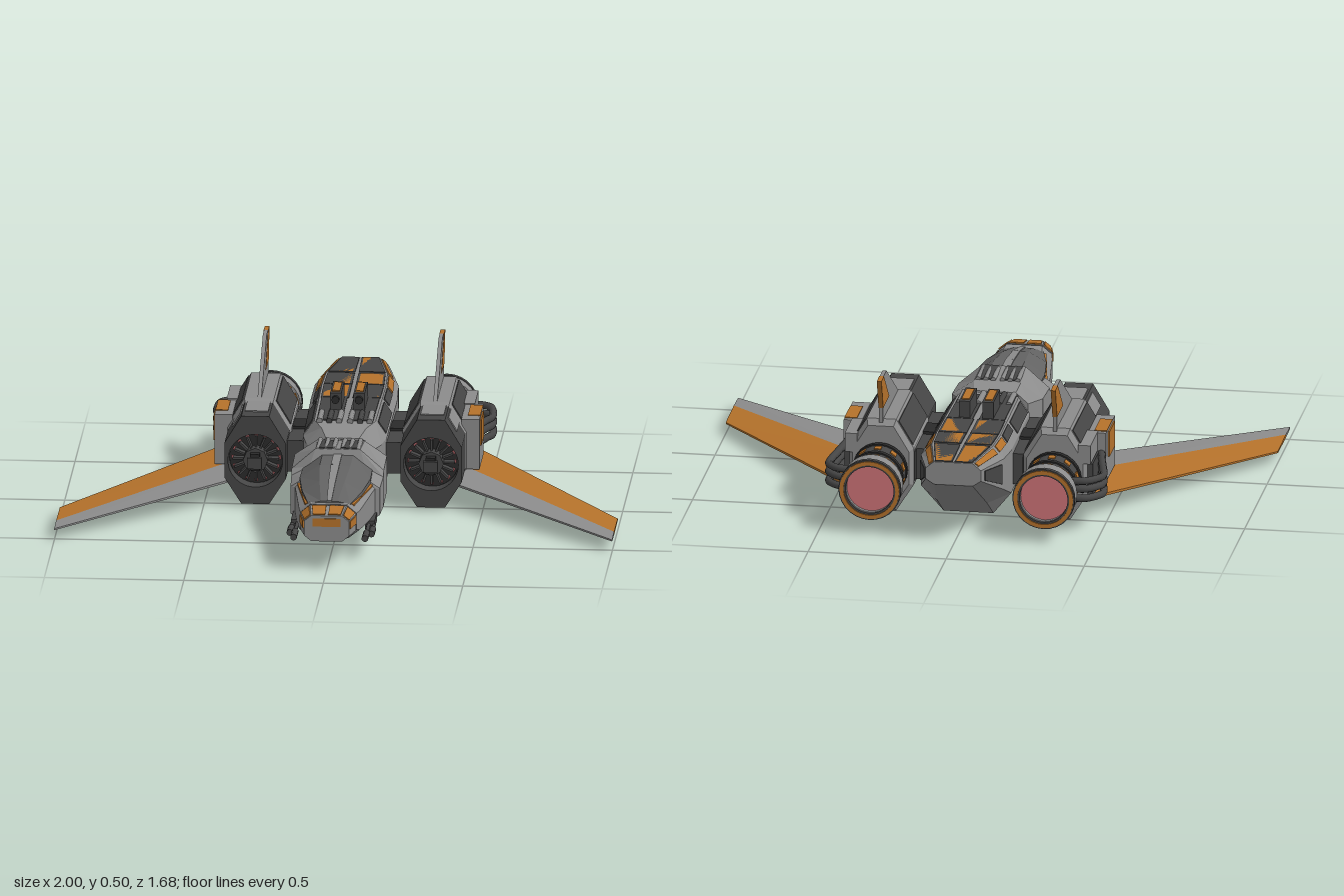
import * as THREE from 'three';
import { ConvexGeometry } from 'three/addons/geometries/ConvexGeometry.js';

const mat = (name, color, side = THREE.FrontSide) => {
  const m = new THREE.MeshStandardMaterial({ color, side });
  m.name = name;
  return m;
};

export function createModel() {
  const model = new THREE.Group();
  model.name = 'starfighter';
  const hull = mat('hull grey', 0x8c8c8c);
  const dark = mat('dark metal', 0x464646);
  const glass = mat('canopy grey', 0x636363);
  const black = mat('recess black', 0x2a2a2a);
  const orange = mat('orange paint', 0xb5722b);
  const pink = mat('engine glow', 0xd07478);

  const add = (name, geo, material, x = 0, y = 0, z = 0) => {
    const m = new THREE.Mesh(geo, material);
    m.name = name;
    m.position.set(x, y, z);
    model.add(m);
    return m;
  };
  // box given by its limits
  const box = (name, m, x0, x1, y0, y1, z0, z1) =>
    add(name, new THREE.BoxGeometry(Math.abs(x1 - x0), y1 - y0, z1 - z0), m, (x0 + x1) / 2, (y0 + y1) / 2, (z0 + z1) / 2);
  // cylinder along z
  const rod = (name, m, r, x, y, z0, z1, n = 24, r2 = r) =>
    add(name, new THREE.CylinderGeometry(r2, r, z1 - z0, n).rotateX(Math.PI / 2), m, x, y, (z0 + z1) / 2);
  const convex = (name, pts, m) => add(name, new ConvexGeometry(pts.map(p => new THREE.Vector3(...p))), m);

  // eight-sided section: z, half width, bottom, top, top half width, upper side y, lower side y, bottom half width
  const ring = ([z, w, y0, y1, t, hi, lo, b], cx) =>
    [[t, y1], [-t, y1], [-w, hi], [-w, lo], [-b, y0], [b, y0], [w, lo], [w, hi]].map(([x, y]) => new THREE.Vector3(cx + x, y, z));
  const loft = (name, secs, m, cx = 0) => {
    const rings = secs.map(s => ring(s, cx)), pos = [];
    const tri = (...v) => v.forEach(p => pos.push(p.x, p.y, p.z));
    for (let i = 0; i + 1 < rings.length; i++) for (let k = 0; k < 8; k++) {
      const a = rings[i], b = rings[i + 1], j = (k + 1) % 8;
      tri(a[k], a[j], b[k]);
      tri(a[j], b[j], b[k]);
    }
    const first = rings[0], last = rings[rings.length - 1];
    for (let k = 1; k < 7; k++) {
      tri(last[0], last[k], last[k + 1]);
      tri(first[0], first[k + 1], first[k]);
    }
    const g = new THREE.BufferGeometry();
    g.setAttribute('position', new THREE.Float32BufferAttribute(pos, 3));
    g.computeVertexNormals();
    add(name, g, m, 0, 0, 0);
    return rings;
  };
  // thin plate lying on one face of a loft
  const panel = (name, rings, i, k, u0, u1, v0, v1, m) => {
    const a = rings[i], b = rings[i + 1], j = (k + 1) % 8;
    const at = (u, v) => a[k].clone().lerp(a[j], v).lerp(b[k].clone().lerp(b[j], v), u);
    const q = [at(u0, v0), at(u0, v1), at(u1, v1), at(u1, v0)];
    const n = q[1].clone().sub(q[0]).cross(q[3].clone().sub(q[0])).normalize().multiplyScalar(0.004);
    add(name, new ConvexGeometry(q.flatMap(p => [p.clone().add(n), p.clone().sub(n)])), m);
  };
  const panelPair = (name, rings, i, k, u0, u1, v0, v1, m) => {
    panel(name, rings, i, k, u0, u1, v0, v1, m);
    panel(name, rings, i, (8 - k) % 8, u0, u1, 1 - v1, 1 - v0, m);
  };
  // flat outline with a round hole, extruded along z
  const collar = (name, outline, holeR, m, x, y, z0, z1, n = 24) => {
    const s = new THREE.Shape(outline.map(p => new THREE.Vector2(...p)));
    const h = new THREE.Path();
    h.absarc(0, 0, holeR, 0, Math.PI * 2, true);
    s.holes.push(h);
    add(name, new THREE.ExtrudeGeometry(s, { depth: z1 - z0, bevelEnabled: false, curveSegments: n }), m, x, y, z0);
  };
  const circle = (r, n = 28) => Array.from({ length: n }, (_, i) =>
    [r * Math.cos(i / n * Math.PI * 2), r * Math.sin(i / n * Math.PI * 2)]);

  // rear fuselage with its painted deck
  const rear = loft('rearFuselage', [
    [-0.84, 0.1, 0.225, 0.31, 0.07, 0.285, 0.245, 0.07],
    [-0.64, 0.15, 0.095, 0.31, 0.11, 0.265, 0.15, 0.09],
    [-0.5, 0.155, 0.01, 0.305, 0.115, 0.25, 0.09, 0.09],
    [-0.06, 0.15, 0.01, 0.3, 0.11, 0.24, 0.09, 0.09],
    [0, 0.135, 0.02, 0.29, 0.08, 0.23, 0.09, 0.08],
    [0.06, 0.1, 0.06, 0.27, 0.06, 0.22, 0.12, 0.06],
  ], hull);
  for (const [i, u0, u1] of [[0, 0.05, 0.93], [1, 0.1, 0.93], [2, 0.03, 0.33]]) {
    panelPair('deckBorder', rear, i, 0, u0 - 0.03, u1 + 0.03, 0.03, 0.47, dark);
    panelPair('deckPanel', rear, i, 0, u0, u1, 0.06, 0.43, orange);
    panelPair('deckSidePanel', rear, i, 7, u0, u1, 0.45, 0.9, i < 2 ? orange : dark);
  }
  panelPair('flankPanel', rear, 2, 7, 0.4, 0.95, 0.15, 0.85, dark);
  panelPair('sternPanel', rear, 0, 6, 0.15, 0.9, 0.15, 0.85, dark);
  panelPair('spineRecess', rear, 2, 0, 0.37, 1, 0.04, 0.45, dark);

  // neck and front fuselage
  rod('neck', dark, 0.1, 0, 0.165, 0.03, 0.13, 16);
  const front = loft('frontFuselage', [
    [0.09, 0.12, 0.08, 0.265, 0.075, 0.225, 0.12, 0.07],
    [0.14, 0.165, 0.055, 0.285, 0.085, 0.23, 0.1, 0.08],
    [0.29, 0.165, 0.045, 0.295, 0.08, 0.22, 0.09, 0.085],
    [0.31, 0.165, 0.045, 0.235, 0.1, 0.2, 0.09, 0.085],
    [0.42, 0.16, 0.045, 0.23, 0.1, 0.19, 0.09, 0.085],
    [0.425, 0.143, 0.05, 0.23, 0.1, 0.19, 0.09, 0.08],
    [0.7, 0.108, 0.085, 0.215, 0.07, 0.185, 0.115, 0.07],
    [0.745, 0.1, 0.095, 0.22, 0.065, 0.19, 0.13, 0.065],
  ], hull);
  panelPair('rearDeckRecess', front, 1, 0, 0.1, 0.95, 0.08, 0.42, dark);
  loft('noseSeam', [[0.74, 0.093, 0.105, 0.212, 0.06, 0.185, 0.13, 0.06],
    [0.76, 0.093, 0.105, 0.212, 0.06, 0.185, 0.13, 0.06]], dark);
  const nose = loft('noseCap', [
    [0.755, 0.1, 0.1, 0.22, 0.065, 0.19, 0.13, 0.065],
    [0.84, 0.08, 0.11, 0.205, 0.055, 0.185, 0.13, 0.055],
  ], hull);
  panelPair('noseTopPanel', nose, 0, 0, 0.08, 0.92, 0.05, 0.45, orange);
  panelPair('noseSlopePanel', nose, 0, 7, 0.08, 0.92, 0.1, 0.9, orange);
  panelPair('noseSidePanel', nose, 0, 6, 0.1, 0.9, 0.45, 0.95, orange);
  box('noseFrontPanel', orange, -0.05, 0.05, 0.165, 0.195, 0.835, 0.843);

  // canopy, trim and centre spine
  const canopy = loft('canopy', [
    [0.28, 0.125, 0.17, 0.275, 0.055, 0.225, 0.18, 0.1],
    [0.42, 0.127, 0.17, 0.272, 0.055, 0.225, 0.18, 0.1],
    [0.57, 0.108, 0.17, 0.255, 0.045, 0.22, 0.18, 0.08],
    [0.71, 0.075, 0.17, 0.222, 0.03, 0.212, 0.18, 0.06],
  ], glass);
  loft('canopyTrim', [
    [0.275, 0.131, 0.17, 0.208, 0.12, 0.204, 0.18, 0.1],
    [0.43, 0.134, 0.17, 0.208, 0.12, 0.204, 0.18, 0.1],
    [0.695, 0.088, 0.17, 0.213, 0.07, 0.208, 0.18, 0.06],
  ], orange);
  for (let i = 0; i < 3; i++) panel('canopySpine', canopy, i, 0, 0, 1, 0.36, 0.64, hull);

  // pipes over the spine and behind the canopy
  for (const x of [-0.09, -0.055, -0.02, 0.02, 0.055, 0.09]) {
    rod('spinePipe', Math.abs(x) === 0.055 ? dark : hull, 0.011, x, 0.303, -0.16, -0.04, 8);
    rod('neckPipe', hull, 0.009, x * 0.8, 0.289, 0.15, 0.29, 8);
    rod('neckConduit', dark, 0.012, x * 0.8, 0.25, -0.02, 0.13, 8);
  }

  // engine nacelle section: z, scale around its centre line
  const CX = 0.315, CY = 0.17;
  const nac = (z, s = 1) => [z, 0.11 * s, CY - 0.16 * s, CY + 0.165 * s, 0.05 * s, CY + 0.065 * s, CY - 0.065 * s, 0.05 * s];

  for (const s of [-1, 1]) {
    const cx = CX * s, outer = s > 0 ? 7 : 1;
    // nacelle body
    const back = loft('nacelleRear', [nac(-0.52, 0.93), nac(-0.5, 1.06), nac(-0.17, 1.06), nac(-0.15)], hull, cx);
    for (const k of [1, 7]) panel('nacelleSlopePanel', back, 1, k, 0.02, 0.98, 0.1, 0.9, dark);
    panel('nacelleInnerPanel', back, 1, 8 - (outer - (s > 0 ? 1 : -1)), 0.02, 0.98, 0.1, 0.9, dark);
    const fore = loft('nacelleFront', [nac(-0.16), nac(-0.03)], dark, cx);
    panel('nacelleTopPanel', fore, 0, 0, 0.05, 1, 0.08, 0.92, hull);
    panel('nacelleShoulderPanel', fore, 0, outer, 0.05, 0.95, s > 0 ? 0.4 : 0.1, s > 0 ? 0.9 : 0.6, hull);
    panel('nacelleKeelPanel', fore, 0, 4, 0.05, 0.95, 0.08, 0.92, hull);
    // intake with vanes, lights and hub
    collar('intakeFrame', ring(nac(0), 0).map(p => [p.x, p.y - CY]), 0.098, dark, cx, CY, -0.03, 0.03);
    rod('intakeBack', black, 0.097, cx, CY, -0.03, -0.024);
    for (let i = 0; i < 16; i++) {
      const a = i / 16 * Math.PI * 2, c = Math.cos(a), d = Math.sin(a);
      add('intakeVane', new THREE.BoxGeometry(0.04, 0.007, 0.03), dark, cx + c * 0.063, CY + d * 0.063, -0.01).rotation.z = a;
      add('intakeLight', new THREE.BoxGeometry(0.008, 0.012, 0.006), pink, cx + c * 0.084, CY + d * 0.084, -0.018).rotation.z = a;
    }
    rod('intakeHub', dark, 0.045, cx, CY, -0.025, 0.025, 8);
    box('hubBlock', black, cx - 0.017, cx + 0.017, CY - 0.03, CY + 0.03, 0.02, 0.055);
    box('hubTip', dark, cx - 0.026, cx + 0.026, CY - 0.02, CY + 0.02, 0.05, 0.07);

    // outer pod and hatch
    box('podBody', hull, s * 0.41, s * 0.475, 0.1, 0.285, -0.36, -0.16);
    box('podRail', hull, s * 0.4, s * 0.445, 0.22, 0.29, -0.52, -0.35);
    box('podLower', dark, s * 0.4, s * 0.45, 0.09, 0.215, -0.5, -0.35);
    box('podHatchSide', orange, s * 0.472, s * 0.48, 0.18, 0.275, -0.31, -0.19);
    box('podHatchTop', orange, s * 0.43, s * 0.475, 0.28, 0.288, -0.34, -0.21);
    // hoses to the engine
    for (const y of [0.135, 0.17, 0.2]) {
      const path = new THREE.CatmullRomCurve3([[0.455, y + 0.01, -0.34], [0.475, y, -0.44], [0.495, y - 0.01, -0.54],
        [0.485, y, -0.61], [0.45, y, -0.645], [0.4, y, -0.65]].map(([x, yy, z]) => new THREE.Vector3(x * s, yy, z)));
      add('hose', new THREE.TubeGeometry(path, 24, 0.014, 8), dark);
    }

    // engine barrel and nozzle
    rod('engineBarrel', dark, 0.095, cx, 0.165, -0.7, -0.5);
    rod('barrelRing', black, 0.1, cx, 0.165, -0.64, -0.62);
    rod('barrelCollar', black, 0.1, cx, 0.165, -0.55, -0.53);
    for (let i = 0; i < 10; i++) {
      const a = (i + 0.5) / 10 * Math.PI * 2, c = Math.cos(a), d = Math.sin(a);
      add('barrelMark', new THREE.BoxGeometry(0.008, 0.025, 0.03), orange, cx + c * 0.094, 0.165 + d * 0.094, -0.58).rotation.z = a;
      add('nozzleClip', new THREE.BoxGeometry(0.012, 0.04, 0.022), orange, cx + c * 0.097, 0.165 + d * 0.097, -0.685).rotation.z = a;
    }
    collar('nozzle', circle(0.11), 0.087, hull, cx, 0.165, -0.75, -0.695);
    collar('nozzleLip', circle(0.113), 0.087, dark, cx, 0.165, -0.768, -0.75);
    collar('nozzleRim', circle(0.108), 0.094, orange, cx, 0.165, -0.773, -0.768);
    rod('engineGlow', pink, 0.088, cx, 0.165, -0.74, -0.7);

    // link between fuselage and nacelle
    box('nacelleLink', dark, s * 0.13, s * 0.225, 0.11, 0.225, -0.46, -0.05);
    box('linkRib', black, s * 0.145, s * 0.215, 0.1, 0.235, -0.3, -0.2);

    // swept wing: grey leading strip, orange trailing strip
    const wing = (name, m, stations) => convex(name, stations.flatMap(([x, z, t]) => {
      const y = 0.085 - (x - 0.41) / 0.59 * 0.045;
      return [[x * s, y + t, z], [x * s, y - t, z]];
    }), m);
    wing('wingLeadingStrip', hull, [[0.4, -0.005, 0.004], [1, 0.515, 0.003], [1, 0.42, 0.006], [0.4, -0.225, 0.015]]);
    wing('wingTrailingStrip', orange, [[0.4, -0.225, 0.015], [1, 0.42, 0.006], [1, 0.24, 0.003], [0.44, -0.49, 0.005], [0.4, -0.49, 0.006]]);

    // upright tail fin
    const fin = (name, m, pts, t) => convex(name, pts.flatMap(([z, y]) => [[cx - t, y, z], [cx + t, y, z]]), m);
    fin('fin', hull, [[-0.16, 0.335], [-0.435, 0.505], [-0.5, 0.505], [-0.38, 0.39], [-0.515, 0.39], [-0.515, 0.335]], 0.007);
    fin('finTip', orange, [[-0.5, 0.505], [-0.555, 0.503], [-0.515, 0.39], [-0.38, 0.39]], 0.0085);

    // deck cannon
    box('deckCannon', dark, s * 0.022, s * 0.062, 0.29, 0.368, -0.33, -0.18);
    box('cannonTop', orange, s * 0.028, s * 0.056, 0.365, 0.372, -0.31, -0.2);
    rod('cannonMuzzle', black, 0.014, s * 0.042, 0.345, -0.19, -0.165, 12);

    // chin guns
    box('gunMount', dark, s * 0.115, s * 0.15, 0.07, 0.1, 0.41, 0.53);
    rod('gunBarrel', dark, 0.007, s * 0.146, 0.082, 0.5, 0.63, 10);
    rod('gunMuzzle', dark, 0.012, s * 0.146, 0.082, 0.57, 0.64, 10);
    rod('gunBarrel', dark, 0.007, s * 0.128, 0.085, 0.5, 0.7, 10);
    rod('gunMuzzle', dark, 0.012, s * 0.128, 0.085, 0.63, 0.71, 10);
  }
  return model;
}
